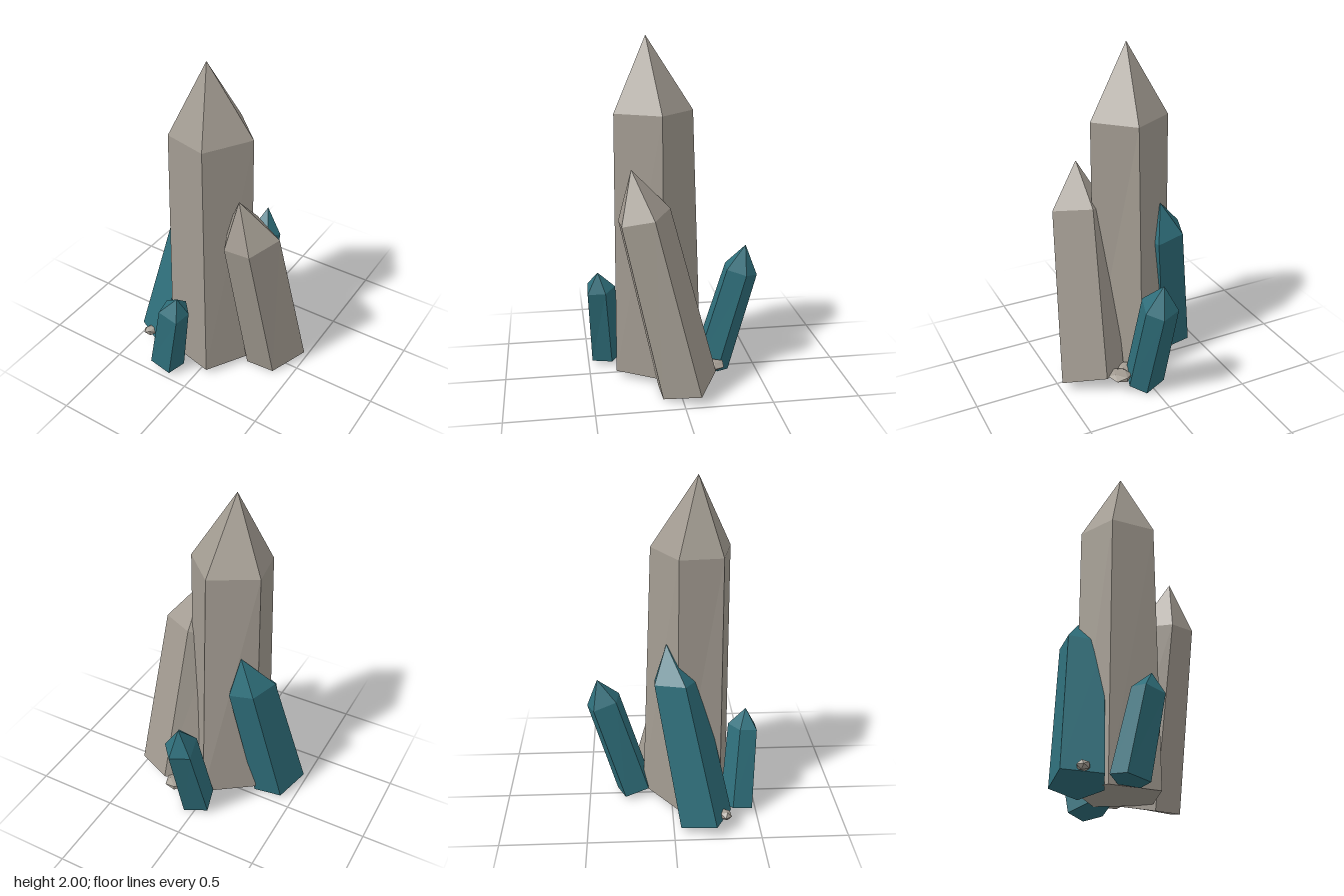
import * as THREE from 'three';

const stone = new THREE.MeshStandardMaterial({ name: 'warm grey crystal', color: 0xa39c92 });
const teal = new THREE.MeshStandardMaterial({ name: 'teal crystal', color: 0x2f6f7b });
stone.flatShading = teal.flatShading = true;

// Pointed prism: base ring and shoulder ring run counterclockwise seen from above
function crystal(name, material, tip, shoulder, base) {
  const positions = [];
  const tri = (...corners) => corners.forEach((c) => positions.push(...c));
  const n = base.length;
  const centre = [0, 1, 2].map((k) => base.reduce((s, p) => s + p[k], 0) / n);
  for (let i = 0; i < n; i++) {
    const j = (i + 1) % n;
    tri(base[i], base[j], shoulder[j]);
    tri(base[i], shoulder[j], shoulder[i]);
    tri(shoulder[i], shoulder[j], tip);
    tri(base[j], base[i], centre);
  }
  const geometry = new THREE.BufferGeometry();
  geometry.setAttribute('position', new THREE.Float32BufferAttribute(positions, 3));
  geometry.computeVertexNormals();
  const mesh = new THREE.Mesh(geometry, material);
  mesh.name = name;
  return mesh;
}

// Small flattened chip of rock
function chip(name, position, size, turn) {
  const mesh = new THREE.Mesh(new THREE.IcosahedronGeometry(1, 0), stone);
  mesh.name = name;
  mesh.position.set(...position);
  mesh.scale.set(...size);
  mesh.rotation.y = turn;
  return mesh;
}

export function createModel() {
  const group = new THREE.Group();
  group.name = 'crystalCluster';

  group.add(
    // Tall central crystal
    crystal('mainCrystal', stone, [-0.04, 2, 0.145],
      [[0.21, 1.59, 0.085], [0.01, 1.59, -0.115], [-0.245, 1.59, 0.03], [-0.205, 1.585, 0.275], [0.05, 1.585, 0.335]],
      [[0.217, 0.04, 0.08], [0.01, 0.05, -0.17], [-0.26, 0.045, 0.03], [-0.237, 0.04, 0.28], [0.056, 0.04, 0.345]]),
    // Second grey crystal, leaning forward
    crystal('sideCrystal', stone, [0.23, 1.31, 0.26],
      [[0.425, 1.07, 0.155], [0.22, 1.085, 0.045], [0.09, 1.04, 0.14], [0.18, 1.015, 0.33], [0.335, 1.02, 0.325]],
      [[0.5, 0.065, -0.09], [0.265, 0.1, -0.215], [0.1, 0.055, -0.1], [0.21, 0.003, 0.115], [0.39, 0.012, 0.11]]),
    // Teal crystals around the foot
    crystal('rightTealCrystal', teal, [-0.17, 1.08, -0.035],
      [[-0.08, 0.85, 0.05], [-0.13, 0.842, -0.1], [-0.285, 0.885, -0.105], [-0.345, 0.895, 0.065], [-0.17, 0.87, 0.16]],
      [[-0.2, 0.03, 0.2], [-0.25, 0.005, 0.04], [-0.43, 0.035, 0.04], [-0.5, 0.08, 0.24], [-0.305, 0.068, 0.34]]),
    crystal('backTealCrystal', teal, [0.015, 0.78, -0.435],
      [[0.117, 0.62, -0.42], [0.045, 0.6, -0.5], [-0.07, 0.615, -0.457], [-0.04, 0.655, -0.325], [0.087, 0.655, -0.31]],
      [[0.135, 0.03, -0.25], [0.06, 0.005, -0.33], [-0.08, 0.025, -0.28], [-0.045, 0.06, -0.14], [0.1, 0.065, -0.13]]),
    crystal('frontTealCrystal', teal, [-0.075, 0.62, 0.437],
      [[-0.025, 0.5, 0.395], [-0.085, 0.525, 0.335], [-0.18, 0.53, 0.395], [-0.165, 0.52, 0.495], [-0.04, 0.495, 0.5]],
      [[-0.1, 0.025, 0.36], [-0.185, 0.045, 0.29], [-0.288, 0.065, 0.355], [-0.27, 0.05, 0.47], [-0.13, 0.025, 0.478]]),
    // Loose chips
    chip('frontChip', [-0.4, 0.1, 0.295], [0.045, 0.03, 0.037], 0.5),
    chip('backChip', [0.18, 0.1, -0.215], [0.07, 0.025, 0.075], 0.3),
    chip('innerChip', [0.11, 0.085, -0.135], [0.06, 0.02, 0.055], 0.9),
  );
  return group;
}
